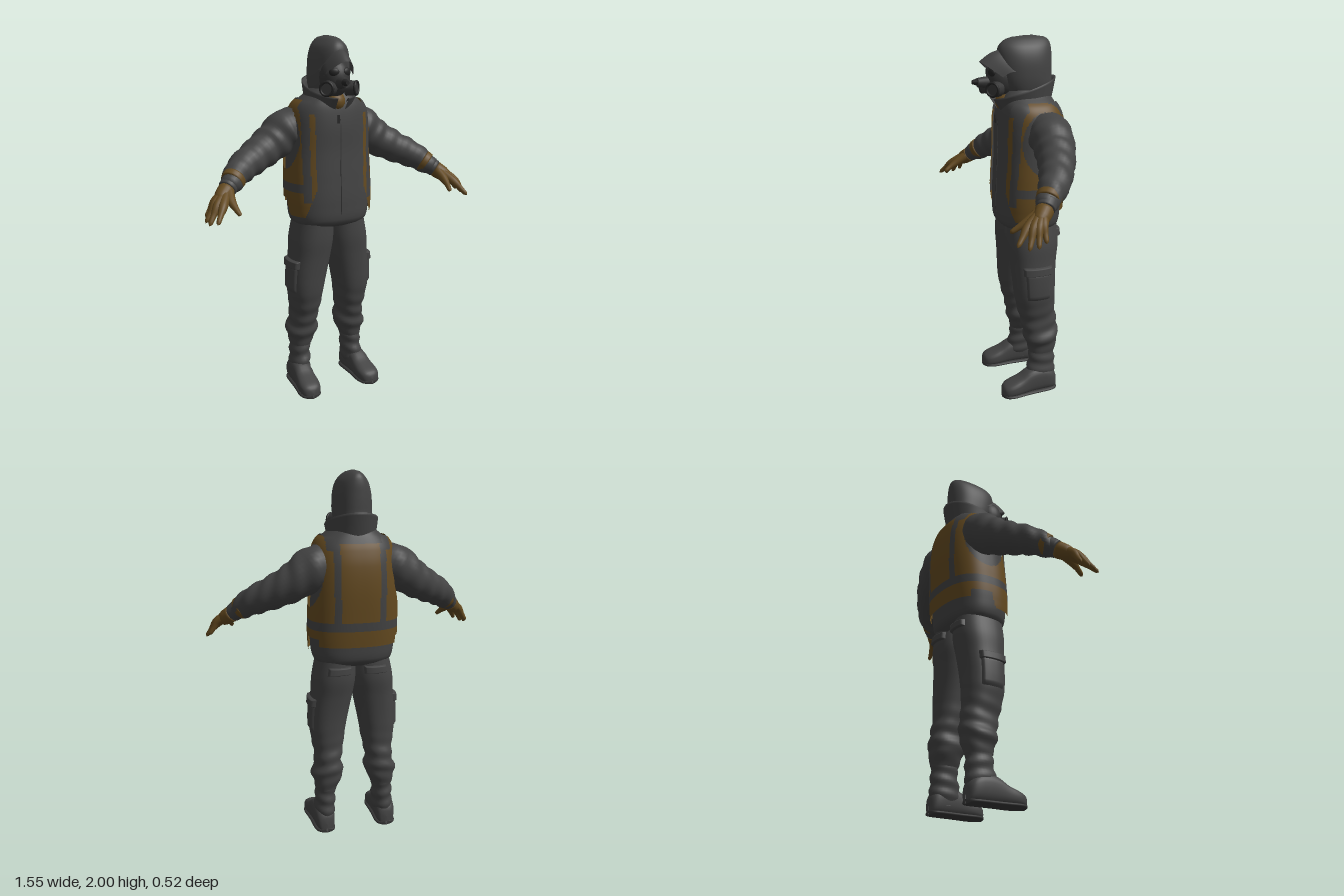
import * as THREE from 'three';

const mk = (color) => new THREE.MeshStandardMaterial({ color, side: THREE.DoubleSide });

// Grid surface from fn(u, v); pick(point) returns a material index, or -1 for a hole
function surf(fn, nu, nv, closed = true, pick = null) {
  const pos = [], lists = [[], []], w = closed ? nu : nu + 1;
  for (let j = 0; j <= nv; j++) for (let i = 0; i < w; i++) pos.push(...fn(i / nu, j / nv));
  for (let j = 0; j < nv; j++) for (let i = 0; i < nu; i++) {
    const k = pick ? pick(...fn((i + 0.5) / nu, (j + 0.5) / nv)) : 0;
    if (k < 0) continue;
    const i2 = (i + 1) % w, a = j * w + i, b = j * w + i2, c = b + w, d = a + w;
    lists[k].push(a, b, c, a, c, d);
  }
  const g = new THREE.BufferGeometry();
  g.setAttribute('position', new THREE.Float32BufferAttribute(pos, 3));
  g.setIndex([...lists[0], ...lists[1]]);
  if (pick) {
    g.addGroup(0, lists[0].length, 0);
    g.addGroup(lists[0].length, lists[1].length, 1);
  }
  g.computeVertexNormals();
  return g;
}

// Smooth interpolation of rows keyed by their first value
function at(rows, y) {
  let i = 0;
  while (i < rows.length - 2 && y > rows[i + 1][0]) i++;
  const p = rows[i], q = rows[i + 1], o = rows[i - 1] || p, r = rows[i + 2] || q;
  const h = q[0] - p[0], t = Math.min(1, Math.max(0, (y - p[0]) / h));
  return p.map((_, k) => {
    const m0 = ((q[k] - o[k]) / (q[0] - o[0])) * h, m1 = ((r[k] - p[k]) / (r[0] - p[0])) * h;
    const t2 = t * t, t3 = t2 * t;
    return (2 * t3 - 3 * t2 + 1) * p[k] + (t3 - 2 * t2 + t) * m0 + (3 * t2 - 2 * t3) * q[k] + (t3 - t2) * m1;
  });
}

// Upright body from rows [y, xMin, xMax, zBack, zFront]; angle 0 faces front
function body(rows, n, fold = () => 0) {
  const se = (c) => Math.sign(c) * Math.abs(c) ** (2 / n);
  return (a, y, off = 0) => {
    const [, x0, x1, zb, zf] = at(rows, y), o = off + fold(a, y);
    return [(x0 + x1) / 2 + ((x1 - x0) / 2 + o) * se(Math.sin(a)), y,
      (zb + zf) / 2 + ((zf - zb) / 2 + o) * se(Math.cos(a))];
  };
}
const wrap = (b, y0, y1, nu, nv, off = 0, pick = null) =>
  surf((u, v) => b(u * Math.PI * 2, y0 + (y1 - y0) * v, off), nu, nv, true, pick);

// Raised patch on a body, sinking into it at its border
const patch = (b, a0, a1, y0, y1, off) => surf((u, v) => {
  const e = Math.min(1, 8 * Math.min(u, 1 - u, v, 1 - v));
  return b(a0 + (a1 - a0) * u, y0 + (y1 - y0) * v, off * e - 0.002);
}, 24, 16, false);

// Round-ended tube through points [x, y, z, radius]
function tube(pts, nv = 20, cap = 0.08, fold = 0, nu = 14) {
  const c = new THREE.CatmullRomCurve3(pts.map((p) => new THREE.Vector3(p[0], p[1], p[2])));
  const f = c.computeFrenetFrames(nv);
  return surf((u, v) => {
    const s = c.getUtoTmapping(v) * (pts.length - 1), i = Math.min(pts.length - 2, Math.floor(s));
    const k = Math.min(1, v / cap, (1 - v) / cap), a = u * Math.PI * 2, j = Math.round(v * nv);
    const r = (pts[i][3] + (pts[i + 1][3] - pts[i][3]) * (s - i)) * Math.sqrt(Math.max(0, 1 - (1 - k) ** 2))
      + fold * k * Math.sin(v * 42 + Math.sin(a) * 1.5 + a * 2);
    return c.getPointAt(v).addScaledVector(f.normals[j], r * Math.cos(a))
      .addScaledVector(f.binormals[j], r * Math.sin(a)).toArray();
  }, nu, nv);
}

function mirrored(geo) {
  const g = geo.clone().scale(-1, 1, 1), ix = g.index.array;
  for (let i = 0; i < ix.length; i += 3) [ix[i], ix[i + 1]] = [ix[i + 1], ix[i]];
  return g;
}

export function createModel() {
  const root = new THREE.Group();
  const cloth = mk(0x434343), brown = mk(0x644a20), mask = mk(0x363636), lens = mk(0x242424);
  cloth.name = 'charcoal cloth'; brown.name = 'brown vest'; mask.name = 'dark rubber'; lens.name = 'black glass';
  const add = (name, geo, mat, parent = root) => {
    const m = new THREE.Mesh(geo, mat);
    m.name = name;
    parent.add(m);
    return m;
  };
  const pair = (name, geo, mat, parent = root) => {
    add(name + 'Left', geo, mat, parent);
    add(name + 'Right', mirrored(geo), mat, parent);
  };

  // Jacket
  const torso = body([
    [0.975, -0.17, 0.17, -0.17, 0.07], [1.0, -0.212, 0.212, -0.21, 0.11], [1.1, -0.23, 0.23, -0.225, 0.12],
    [1.25, -0.23, 0.23, -0.238, 0.115], [1.4, -0.222, 0.222, -0.245, 0.108], [1.52, -0.215, 0.215, -0.238, 0.108],
    [1.6, -0.205, 0.205, -0.22, 0.103], [1.65, -0.18, 0.18, -0.2, 0.095], [1.69, -0.13, 0.13, -0.18, 0.08],
    [1.74, -0.075, 0.075, -0.14, 0.04],
  ], 2.5);
  add('jacket', wrap(torso, 0.975, 1.74, 64, 50), cloth);
  add('zipStrip', patch(torso, -0.004, 0.004, 1.02, 1.6, 0.005), mask);
  add('zipPull', new THREE.BoxGeometry(0.012, 0.045, 0.008).translate(-0.015, 1.57, 0.113), lens);

  // Open vest with grey tape: 0 is brown, 1 is tape
  const vestRule = (x, y, z) => {
    const ax = Math.abs(x), front = z > -0.03;
    const bottom = front ? 1.045 : z > -0.06 ? 1.045 - (z + 0.03) * 3 : z > -0.17 ? 1.135 : 1.09;
    const edge = y > 1.2 ? 0.142 : 0.142 + (1.2 - y) * 0.35;
    if (y < bottom || (z > 0 && ax < edge)) return -1;
    if (ax > 0.13 && ((z + 0.08) / 0.12) ** 2 + ((y - 1.46) / 0.165) ** 2 < 1) return -1;
    if (!front && ax < 0.12 && y > 1.635) return -1;
    if (y > 1.67 || ax < 0.1 && y > 1.65) return -1;
    if (y > 1.18 && y < 1.225 && ax > 0.17 || y > 1.18 && y < 1.225 && z < -0.1) return 1;
    if (z > 0 && ax > 0.168 && ax < 0.203 && y > 1.13) return 1;
    if (y > 1.2 && z < -0.1 && ax > 0.105 && ax < 0.14) return 1;
    if (y > 1.6 && ax > 0.14 && ax < 0.17) return 1;
    return 0;
  };
  add('vest', wrap(torso, 1.04, 1.68, 180, 110, 0.014, vestRule), [brown, cloth]);

  // Flared collar, open at the front, with a rolled rim
  add('collar', surf((u, v) => {
    const a = 0.22 + u * (Math.PI * 2 - 0.44), c = Math.cos(a);
    const t = Math.min(1, v / 0.75), roll = Math.max(0, v - 0.75) / 0.25;
    return [(0.125 + 0.015 * t - 0.02 * roll) * Math.sin(a),
      (1.635 - 0.035 * c) * (1 - t) + (1.735 - 0.055 * c) * t - 0.02 * roll * roll,
      -0.05 + 0.015 * t + (0.14 + 0.04 * t - 0.025 * roll) * c];
  }, 48, 12, false), cloth);

  // Hood with a peaked brim
  const hood = body([
    [1.68, -0.08, 0.08, -0.14, 0.03], [1.74, -0.095, 0.095, -0.188, 0.075], [1.8, -0.1, 0.1, -0.19, 0.095],
    [1.88, -0.096, 0.096, -0.19, 0.105], [1.94, -0.078, 0.078, -0.187, 0.1], [1.975, -0.05, 0.05, -0.175, 0.07],
    [1.993, -0.025, 0.025, -0.145, 0.02], [2.0, -0.002, 0.002, -0.09, -0.05],
  ], 2.3);
  add('hood', wrap(hood, 1.68, 2.0, 48, 36), cloth);
  add('hoodBrim', surf((u, v) => {
    const s = u * 2 - 1, q = s * s, b = Math.sin(v * Math.PI) * 0.012;
    return [(0.092 - 0.006 * v) * s - 0.01 * v, 1.93 - 0.11 * q - v * (0.06 - 0.035 * q) + b,
      0.085 - 0.07 * q + v * (0.115 - 0.03 * q)];
  }, 28, 10, false).scale(1, 1, 1), cloth);

  // Breathing mask with two side filters and a front valve
  const face = new THREE.Group();
  face.name = 'breathingMask';
  face.position.x = -0.02;
  root.add(face);
  add('neckScarf', new THREE.SphereGeometry(1, 24, 16).scale(0.06, 0.06, 0.07).translate(-0.01, 1.66, 0.045), brown);
  add('facePiece', new THREE.SphereGeometry(1, 28, 20).scale(0.08, 0.1, 0.085).translate(0, 1.785, 0.075), mask, face);
  pair('eyeLens', new THREE.SphereGeometry(1, 18, 12).scale(0.027, 0.022, 0.012).rotateY(0.35).translate(0.036, 1.815, 0.142), lens, face);
  const turn = (g) => g.rotateY(0.75).translate(0.068, 1.733, 0.135);
  pair('filter', turn(new THREE.CylinderGeometry(0.036, 0.042, 0.055, 24).rotateX(Math.PI / 2)), mask, face);
  pair('filterRim', turn(new THREE.TorusGeometry(0.034, 0.007, 8, 24).translate(0, 0, 0.027)), lens, face);
  add('valve', new THREE.CylinderGeometry(0.024, 0.034, 0.07, 20).rotateX(Math.PI / 2).translate(0, 1.763, 0.175), mask, face);
  add('valveTip', new THREE.CylinderGeometry(0.01, 0.02, 0.03, 16).rotateX(Math.PI / 2).translate(-0.008, 1.765, 0.222), lens, face);

  // Sleeves, cuffs and gloved hands
  pair('sleeve', tube([[0.12, 1.54, -0.09, 0.09], [0.22, 1.505, -0.105, 0.116], [0.32, 1.435, -0.095, 0.102],
    [0.43, 1.375, -0.055, 0.088], [0.53, 1.325, 0, 0.076], [0.6, 1.272, 0.06, 0.056], [0.635, 1.245, 0.088, 0.04]], 48, 0.04, 0.004, 28), cloth);
  pair('cuffBand', tube([[0.57, 1.297, 0.035, 0.066], [0.6, 1.274, 0.06, 0.06]], 10, 0.15, 0, 24), brown);
  pair('wristStrap', tube([[0.595, 1.278, 0.055, 0.054], [0.637, 1.245, 0.088, 0.047]], 10, 0.15, 0, 24), cloth);
  pair('gloveCuff', tube([[0.625, 1.253, 0.08, 0.047], [0.665, 1.222, 0.115, 0.042], [0.69, 1.2, 0.145, 0.03]], 12, 0.15, 0, 24), brown);
  [['indexFinger', [0.69, 1.185, 0.195], [0.74, 1.115, 0.26]], ['middleFinger', [0.71, 1.19, 0.17], [0.768, 1.102, 0.213]],
    ['ringFinger', [0.715, 1.195, 0.145], [0.773, 1.108, 0.168]], ['littleFinger', [0.71, 1.2, 0.122], [0.76, 1.125, 0.125]],
  ].forEach(([name, k, t]) => pair(name, tube([[0.635, 1.245, 0.095, 0.03], [...k, 0.023],
    [...k.map((c, i) => (c + t[i]) / 2), 0.0145], [...t, 0.01]]), brown));
  pair('thumb', tube([[0.63, 1.245, 0.1, 0.03], [0.638, 1.205, 0.165, 0.024], [0.632, 1.175, 0.215, 0.015], [0.622, 1.147, 0.255, 0.011]]), brown);

  // Trousers, bagging over the boots
  const bell = (y, c, w) => Math.exp(-(((y - c) / w) ** 2));
  const leg = body([
    [0.25, 0.105, 0.222, -0.17, -0.02], [0.29, 0.09, 0.23, -0.175, -0.008], [0.335, 0.066, 0.244, -0.185, 0.005],
    [0.42, 0.075, 0.222, -0.185, 0.02], [0.5, 0.06, 0.23, -0.17, 0.04], [0.6, 0.045, 0.243, -0.17, 0.06],
    [0.7, 0.025, 0.242, -0.173, 0.068], [0.8, 0.004, 0.233, -0.182, 0.076], [0.9, -0.012, 0.225, -0.196, 0.086], [1.02, -0.012, 0.2, -0.19, 0.085],
  ], 2.3, (a, y) => 0.005 * Math.sin(y * 75 + 2 * Math.sin(a + 1)) * bell(y, 0.38, 0.13));
  pair('trouserLeg', wrap(leg, 0.25, 1.02, 40, 60), cloth);
  pair('cargoPocket', patch(leg, 0.95, 2.1, 0.59, 0.76, 0.011), cloth);
  pair('cargoFlap', patch(leg, 0.85, 2.15, 0.735, 0.785, 0.02), cloth);
  pair('backPocketFlap', patch(leg, 2.6, 3.7, 0.93, 0.975, 0.016), cloth);

  // Boots: shaft, foot and sole
  const shaft = body([[0.05, 0.125, 0.235, -0.168, -0.005], [0.12, 0.115, 0.228, -0.17, 0.0], [0.2, 0.112, 0.224, -0.168, -0.016],
    [0.3, 0.11, 0.22, -0.165, -0.02]], 2.1, (a, y) => 0.004 * Math.sin(y * 90 + a));
  pair('bootShaft', wrap(shaft, 0.05, 0.3, 28, 24), cloth);
  const footRows = [[-0.176, 0.004, 0.05], [-0.17, 0.035, 0.09], [-0.14, 0.054, 0.13], [-0.08, 0.057, 0.15], [-0.01, 0.057, 0.14],
    [0.04, 0.06, 0.108], [0.09, 0.063, 0.088], [0.13, 0.054, 0.072], [0.15, 0.033, 0.055], [0.157, 0.003, 0.03]];
  const foot = (grow, top) => surf((u, v) => {
    const z = -0.176 + 0.333 * (0.5 - 0.5 * Math.cos(v * Math.PI)), [, w, h] = at(footRows, z), a = -u * Math.PI * 2;
    const sq = (c) => Math.sign(c) * Math.abs(c) ** 0.75, H = top ? Math.min(top, h) : h;
    return [0.18 + 0.05 * (z + 0.1) + (w + grow) * sq(Math.sin(a)), 0.004 + H / 2 + (H / 2) * sq(Math.cos(a)) - (top ? 0.004 : 0), z];
  }, 28, 28);
  pair('bootFoot', foot(0, 0), cloth);
  pair('bootSole', foot(0.003, 0.024), mask);
  return root;
}
